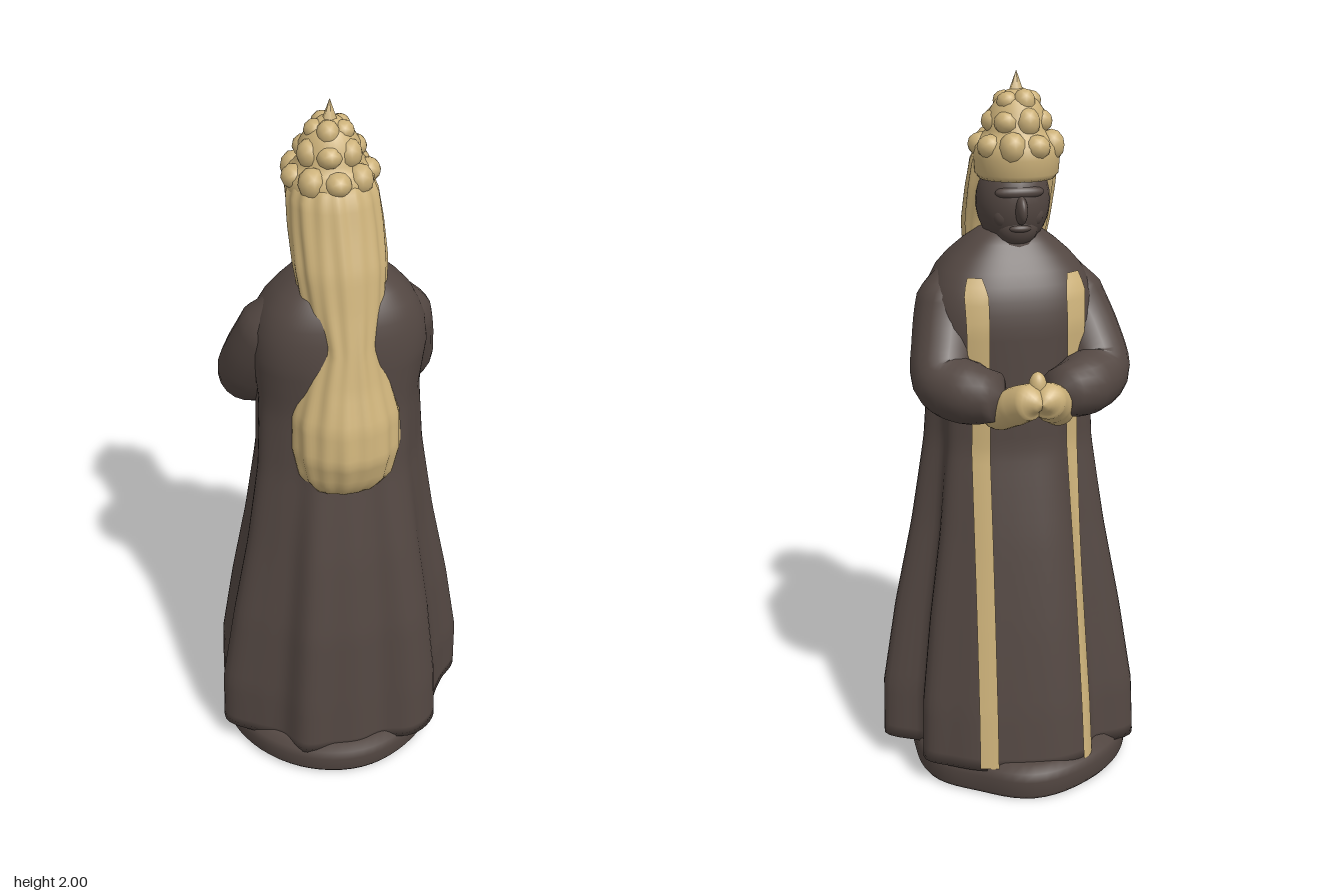
import * as THREE from 'three';

const robeMat = new THREE.MeshStandardMaterial({ color: 0x534742 });
robeMat.name = 'dark brown';
const goldMat = new THREE.MeshStandardMaterial({ color: 0xcdb27a });
goldMat.name = 'pale gold';

const lerp = THREE.MathUtils.lerp;

// Surface from a rule f(u, v) -> [x, y, z]; u runs round (closed) or across (open)
function grid(f, nu, nv, closed = true) {
  const pos = [], idx = [], cols = closed ? nu : nu + 1;
  for (let j = 0; j <= nv; j++)
    for (let i = 0; i < cols; i++) pos.push(...f(i / nu, j / nv));
  for (let j = 0; j < nv; j++)
    for (let i = 0; i < nu; i++) {
      const n = closed ? (i + 1) % nu : i + 1;
      const a = j * cols + i, b = j * cols + n, c = a + cols, d = b + cols;
      idx.push(a, c, b, b, c, d);
    }
  const g = new THREE.BufferGeometry();
  g.setAttribute('position', new THREE.Float32BufferAttribute(pos, 3));
  g.setIndex(idx);
  g.computeVertexNormals();
  return g;
}

// Value of a row table at height y (first column is y)
function rowAt(rows, y) {
  let k = 0;
  while (k < rows.length - 2 && y > rows[k + 1][0]) k++;
  const a = rows[k], b = rows[k + 1];
  const t = THREE.MathUtils.clamp((y - a[0]) / (b[0] - a[0]), 0, 1);
  return a.map((v, i) => lerp(v, b[i], t));
}

// Periodic smooth interpolation of radii given at equal angles
function around(list, a) {
  const n = list.length, s = ((a / (2 * Math.PI)) % 1 + 1) % 1 * n, k = Math.floor(s), t = s - k;
  const [p, q, r, w] = [-1, 0, 1, 2].map(o => list[(k + o + n) % n]);
  return q + 0.5 * t * (r - p + t * (2 * p - 5 * q + 4 * r - w + t * (3 * (q - r) + w - p)));
}

// Radius of a slightly squared oval
const oval = (a, w, d, n = 2.5) =>
  Math.pow(Math.abs(Math.cos(a) / w) ** n + Math.abs(Math.sin(a) / d) ** n, -1 / n);

// Hem outline every 15 degrees and plinth outline every 30, from +x towards +z
const hem = [.385, .335, .32, .35, .345, .30, .31, .315, .34, .315, .345, .39,
  .345, .36, .375, .30, .325, .32, .305, .30, .31, .32, .34, .295];
const plinth = [.29, .305, .315, .335, .345, .355, .365, .35, .335, .335, .30, .31];
// y, half width, centre z, half depth, fold strength
const robeRows = [
  [.08, .345, .002, .302, 1], [.25, .341, .008, .288, 1], [.5, .304, .018, .262, .95],
  [.75, .259, .02, .225, .85], [1.0, .228, .02, .18, .6], [1.2, .222, .013, .172, .3],
  [1.35, .238, .015, .175, .05], [1.43, .228, .018, .165, 0], [1.5, .19, .025, .138, 0],
  [1.55, .135, .022, .1, 0], [1.59, .08, .01, .07, 0]];

function robePoint(a, y, out = 0) {
  const [, w, cz, d, fold] = rowAt(robeRows, y);
  const r = oval(a, w, d) * Math.pow(around(hem, a) / oval(a, .345, .305), fold) + out;
  return [r * Math.cos(a) - .006, y, cz + r * Math.sin(a)];
}

// Angle on the face side of the robe where it crosses a given x
function robeAngle(x, y) {
  let lo = Math.PI * 1.05, hi = Math.PI * 1.95;
  for (let i = 0; i < 24; i++) {
    const m = (lo + hi) / 2;
    if (robePoint(m, y)[0] < x) lo = m; else hi = m;
  }
  return lo;
}

// Tapered limb along a smooth path of [x, y, z, radius], closed at both ends
function limb(pts) {
  const curve = new THREE.CatmullRomCurve3(pts.map(p => new THREE.Vector3(...p)));
  return grid((u, v) => {
    const s = v * (pts.length - 1), k = Math.min(Math.floor(s), pts.length - 2);
    const r = v === 0 || v === 1 ? 0 : lerp(pts[k][3], pts[k + 1][3], s - k);
    const t = curve.getTangent(v), a = -u * 2 * Math.PI;
    const side = new THREE.Vector3(1, 0, 0).addScaledVector(t, -t.x).normalize();
    const other = new THREE.Vector3().crossVectors(t, side);
    const p = curve.getPoint(v).addScaledVector(side, r * Math.cos(a)).addScaledVector(other, r * Math.sin(a));
    return [p.x, p.y, p.z];
  }, 20, 24);
}

export function createModel() {
  const model = new THREE.Group();
  const add = (name, geo, mat, p = [0, 0, 0], s = [1, 1, 1]) => {
    const m = new THREE.Mesh(geo, mat);
    m.name = name;
    m.position.set(...p);
    m.scale.set(...s);
    model.add(m);
  };
  const ball = new THREE.SphereGeometry(1, 24, 16);

  // Uneven plinth
  const plinthRows = [[0, 0], [.001, .96], [.015, .99], [.06, 1], [.085, .985], [.105, .92], [.13, 0]];
  add('plinth', grid((u, v) => {
    const [y, k] = plinthRows[Math.round(v * 6)], a = u * 2 * Math.PI, r = k * around(plinth, a);
    return [r * Math.cos(a), y, r * Math.sin(a)];
  }, 64, 6), robeMat);

  // Pleated robe with closed hem and neck
  add('robe', grid((u, v) => {
    if (v === 0) return [0, .075, 0];
    if (v === 1) return [-.008, 1.6, .01];
    return robePoint(u * 2 * Math.PI, lerp(.08, 1.59, (v * 46 - 1) / 44));
  }, 120, 46), robeMat);

  // Gold bands down the front opening: y, centre x, half width
  const trims = {
    rightTrim: [[.09, -.168, .016], [1.1, -.145, .017], [1.3, -.15, .026], [1.44, -.152, .03], [1.48, -.15, .018]],
    leftTrim: [[.09, .118, .025], [1.1, .105, .023], [1.3, .112, .028], [1.44, .113, .03], [1.48, .112, .018]]
  };
  for (const [name, rows] of Object.entries(trims))
    add(name, grid((u, v) => {
      const y = lerp(.09, 1.48, v), [, x, w] = rowAt(rows, y);
      return robePoint(robeAngle(x + (u - .5) * 2 * w, y), y, .007);
    }, 4, 60, false), goldMat);

  // Sleeves, and gold cuffs running into the clasped hands
  for (const s of [1, -1]) {
    const side = s > 0 ? 'left' : 'right', o = s > 0 ? 0 : .03;
    const path = (list, dx) => limb(list.map(([x, y, z, r]) => [s * x + dx, y, z, r]));
    add(side + 'Sleeve', path([[.12 + o / 2, 1.5, .02, .04], [.16 + o / 2, 1.4, .005, .092],
      [.185 + o, 1.29, -.045, .092], [.197 + o, 1.205, -.105, .09], [.145 + o / 2, 1.185, -.175, .085],
      [.065, 1.185, -.235, .06]], 0), robeMat);
    add(side + 'HandAndCuff', path([[0, 1.19, -.335, .01], [.022, 1.19, -.3, .048], [.05, 1.165, -.25, .052],
      [.08, 1.13, -.2, .045], [.09, 1.1, -.15, .025]], -.01), goldMat);
  }
  add('thumbs', ball, goldMat, [-.01, 1.225, -.283], [.024, .04, .024]);

  // Head, with face features
  add('neck', new THREE.CylinderGeometry(.075, .09, .14, 20), robeMat, [-.012, 1.57, .005]);
  add('head', ball, robeMat, [-.012, 1.665, -.005], [.1, .128, .1]);
  add('jaw', ball, robeMat, [-.012, 1.6, -.045], [.06, .055, .052]);
  add('brow', ball, robeMat, [-.012, 1.695, -.08], [.066, .02, .026]);
  add('nose', ball, robeMat, [-.012, 1.65, -.1], [.016, .038, .032]);
  add('mouth', ball, robeMat, [-.012, 1.601, -.088], [.03, .011, .016]);
  for (const s of [1, -1])
    add(s > 0 ? 'leftCheek' : 'rightCheek', ball, robeMat, [-.012 + s * .04, 1.635, -.064], [.03, .035, .026]);

  // Long hair falling down the back: y, centre x, half width, centre z, half depth
  const hairRows = [[.96, -.018, .06, .165, .03], [.98, -.018, .1, .16, .07], [1.02, -.014, .133, .15, .105],
    [1.1, -.014, .15, .135, .145], [1.2, -.014, .149, .125, .143], [1.3, -.014, .12, .12, .116],
    [1.4, -.01, .09, .11, .102], [1.5, -.01, .11, .087, .1], [1.6, -.012, .122, .066, .1],
    [1.7, -.015, .122, .03, .105], [1.77, -.018, .117, .01, .105], [1.83, -.02, .095, -.005, .09]];
  add('hair', grid((u, v) => {
    const a = u * 2 * Math.PI, y = lerp(.96, 1.83, v), [, cx, w, cz, d] = rowAt(hairRows, y);
    const k = v === 0 || v === 1 ? 0 : 1 + .02 * Math.cos(16 * a + 3 * y) + .012 * Math.cos(9 * a - 9 * y);
    // the face side is kept shallow so the face stays bare
    const depth = Math.sin(a) < 0 ? d * .45 : d;
    return [cx + k * w * Math.cos(a), y, cz + k * depth * Math.sin(a)];
  }, 96, 44), goldMat);

  // Crown: flared band, stepped dome, rings of worn knobs and a spike
  const cx = -.02, cz = -.015;
  const profile = [[0, 1.73], [.1, 1.725], [.112, 1.74], [.115, 1.78], [.115, 1.81], [.098, 1.835],
    [.08, 1.85], [.078, 1.89], [.055, 1.925], [.025, 1.95], [0, 1.955]];
  add('crown', new THREE.LatheGeometry(profile.map(p => new THREE.Vector2(...p)), 32), goldMat, [cx, 0, cz]);
  const knob = new THREE.IcosahedronGeometry(1, 1);
  const ring = (name, n, r, y, s, turn) => {
    for (let i = 0; i < n; i++) {
      const a = (i + turn) / n * 2 * Math.PI, h = s * (i % 2 ? 1.15 : .9);
      add(name, knob, goldMat, [cx + r * Math.cos(a), y, cz + r * Math.sin(a)], [s, h, s]);
    }
  };
  ring('crownBandKnob', 9, .094, 1.812, .036, .25);
  ring('crownMiddleKnob', 7, .062, 1.872, .034, 0);
  ring('crownUpperKnob', 5, .036, 1.922, .03, .5);
  add('crownSpike', new THREE.ConeGeometry(.026, .07, 6), goldMat, [cx, 1.965, cz + .005]);

  return model;
}
